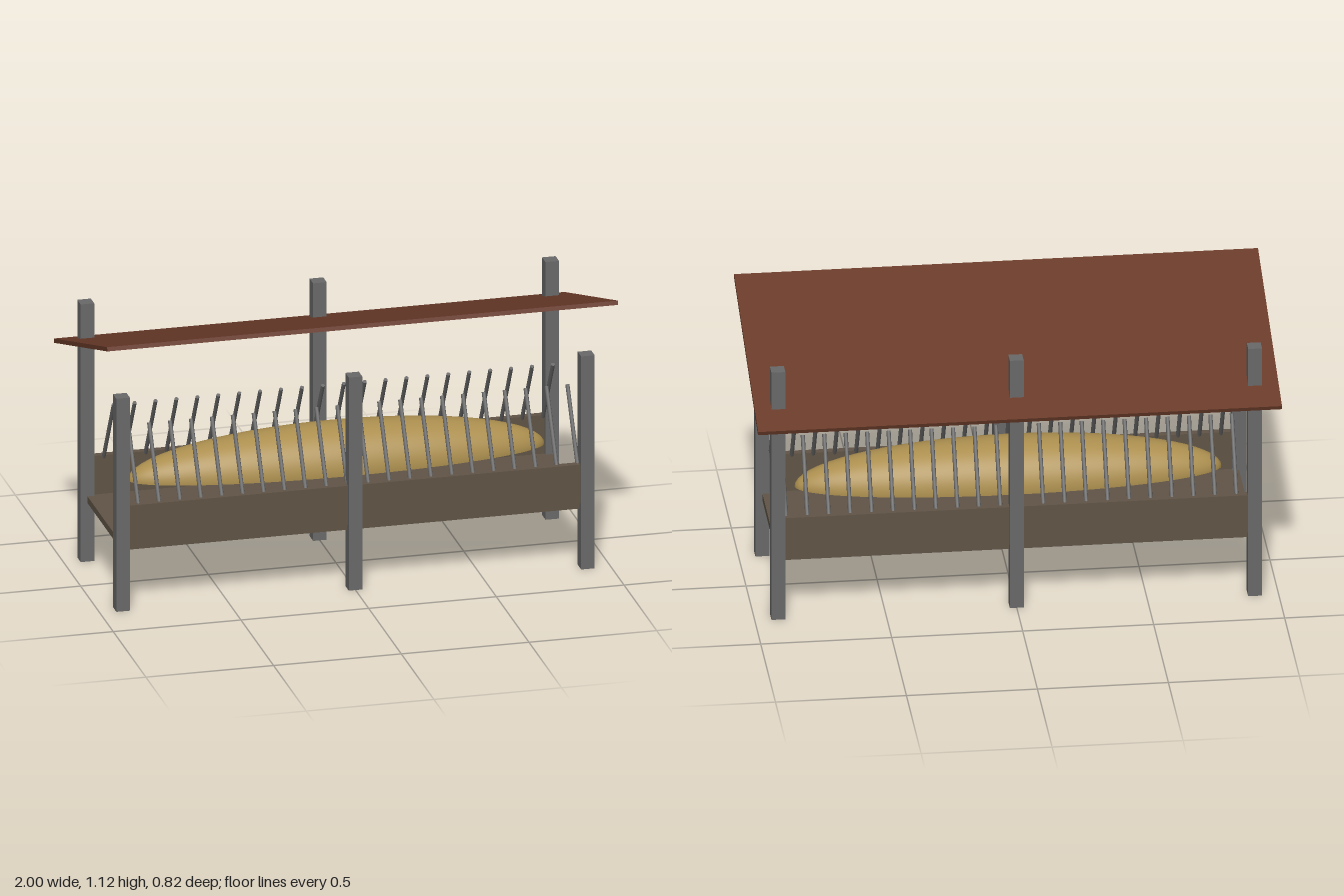
import * as THREE from 'three';

const material = (name, color, extra = {}) => {
  const m = new THREE.MeshStandardMaterial({ color, ...extra });
  m.name = name;
  return m;
};

export function createModel() {
  const metal = material('grey metal', 0x696969);
  const timber = material('weathered timber', 0x605446);
  const roofing = material('rust brown roofing', 0x693a29);
  const straw = material('straw', 0xac8f4f, { side: THREE.DoubleSide });

  const model = new THREE.Group();
  model.name = 'hayFeeder';

  const add = (name, geometry, mat, x, y, z) => {
    const mesh = new THREE.Mesh(geometry, mat);
    mesh.name = name;
    mesh.position.set(x, y, z);
    model.add(mesh);
    return mesh;
  };
  const box = (name, mat, w, h, d, x, y, z) =>
    add(name, new THREE.BoxGeometry(w, h, d), mat, x, y, z);

  const postZ = 0.273;
  const postSize = 0.053;

  // Posts: short at the front, tall at the back and passing through the roof
  for (const x of [-0.91, 0, 0.91]) {
    box('frontPost', metal, postSize, 0.865, postSize, x, 0.4325, postZ);
    box('backPost', metal, postSize, 1.046, postSize, x, 0.523, -postZ);
  }

  // Trough floor and side boards
  box('troughFloor', timber, 1.82, 0.027, postZ * 2, 0, 0.251, 0);
  for (const side of [1, -1]) {
    box('sideBoard', timber, 1.82, 0.158, 0.027, 0, 0.342, side * postZ);
  }

  // Slanted rack bars, leaning inward from both side boards
  const lean = Math.PI / 6;
  const barLength = 0.315;
  const bar = new THREE.CylinderGeometry(0.008, 0.008, barLength, 8);
  for (const side of [1, -1]) {
    for (let i = 0; i < 22; i++) {
      const z = 0.11 + Math.sin(lean) * barLength / 2;
      const y = 0.682 - Math.cos(lean) * barLength / 2;
      add('rackBar', bar, metal, -0.842 + i * 0.0819, y, side * z).rotation.x = -side * lean;
    }
  }

  // Hay: half ellipsoid with its poles at the two ends, closed underneath
  const hay = new THREE.SphereGeometry(1, 32, 32, 0, Math.PI);
  hay.rotateZ(Math.PI / 2);
  hay.rotateX(-Math.PI / 2);
  hay.scale(0.815, 0.16, 0.163);
  add('hayPile', hay, straw, 0, 0.411, 0);
  const base = new THREE.CircleGeometry(1, 48);
  base.rotateX(Math.PI / 2);
  base.scale(0.815, 1, 0.163);
  add('hayBase', base, straw, 0, 0.411, 0);

  // Sloping roof, high at the front
  box('roof', roofing, 2, 0.0165, 0.86, 0, 0.979, 0).rotation.x = -0.316;

  return model;
}
